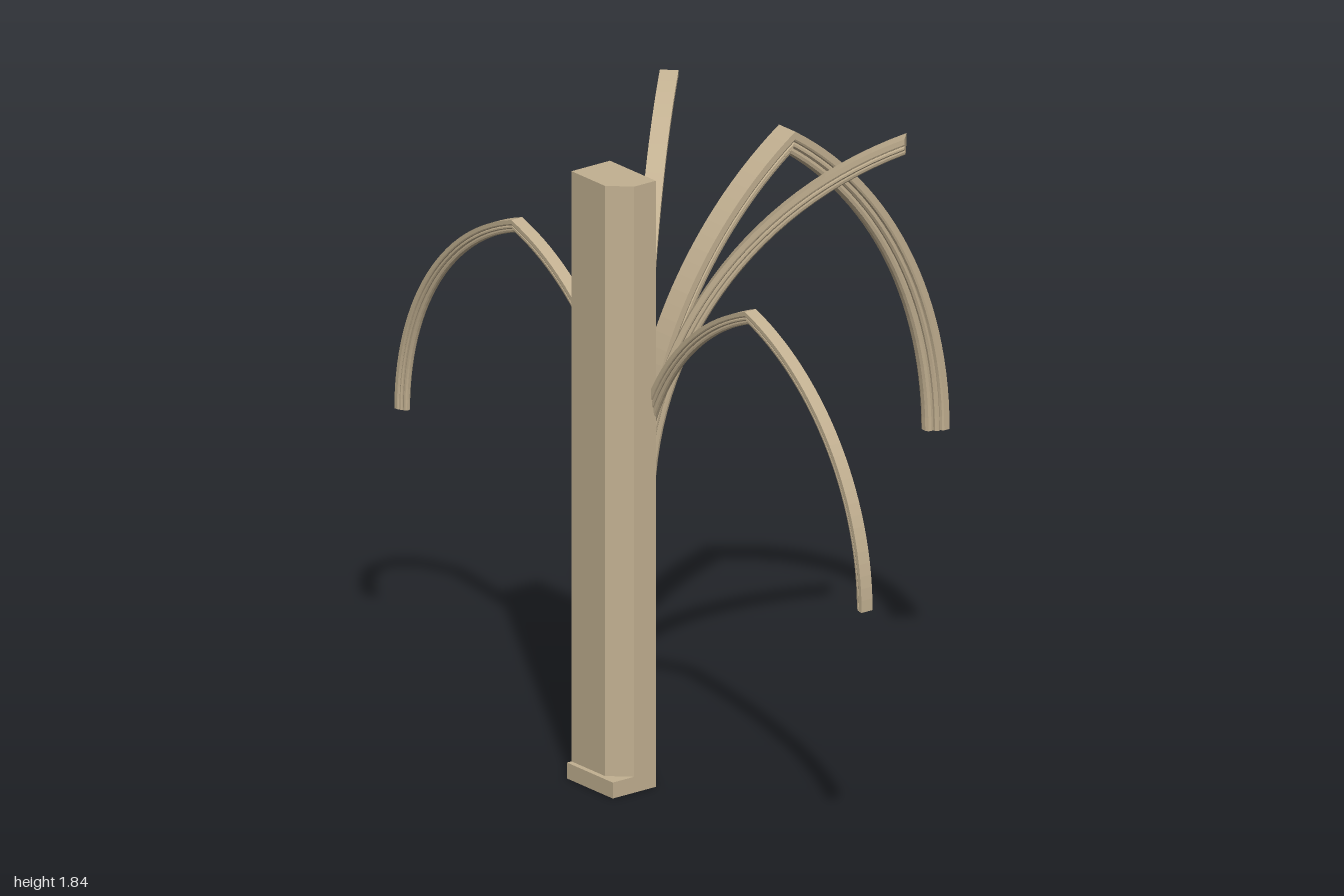
import * as THREE from 'three';

const SPRING = 0.755; // height where the ribs leave the shaft

// Moulded rib section: flat back at v = 0, side rolls and a central roll at v = 1
const half = [[0.5, 0], [0.5, 0.3], [0.46, 0.38], [0.36, 0.42], [0.42, 0.5], [0.42, 0.6],
  [0.34, 0.68], [0.24, 0.68], [0.26, 0.8], [0.22, 0.93], [0.1, 1]];
const section = [...half, ...half.map(([u, v]) => [-u, v]).reverse()];

// Sweep the section along place(u, v, t), t from 0 to 1, with capped ends
function sweep(width, depth, steps, place) {
  const pts = section.map(([u, v]) => new THREE.Vector2(u * width, v * depth));
  const n = pts.length;
  const pos = [];
  const put = (j, i) => pos.push(...place(pts[j % n].x, pts[j % n].y, i / steps));
  for (let i = 0; i < steps; i++) {
    for (let j = 0; j < n; j++) {
      put(j, i); put(j + 1, i); put(j, i + 1);
      put(j + 1, i); put(j + 1, i + 1); put(j, i + 1);
    }
  }
  for (const [a, b, c] of THREE.ShapeUtils.triangulateShape(pts, [])) {
    put(a, 0); put(c, 0); put(b, 0);
    put(a, steps); put(b, steps); put(c, steps);
  }
  const geo = new THREE.BufferGeometry();
  geo.setAttribute('position', new THREE.Float32BufferAttribute(pos, 3));
  geo.computeVertexNormals();
  return geo;
}

// Quarter-like arc rising from the spring line, cut vertically at the apex
function arcRib(span, rise, width, depth) {
  const R = (span * span + rise * rise) / (2 * span);
  return sweep(width, depth, 28, (u, v, t) => {
    const a = t * Math.acos((R - span) / (R - v));
    return [R - (R - v) * Math.cos(a), (R - v) * Math.sin(a), u];
  });
}

export function createModel() {
  const model = new THREE.Group();
  const stone = new THREE.MeshStandardMaterial({ color: 0xc2b091 });
  stone.name = 'tan stone';

  const add = (name, geo, x, y, z, turn = 0) => {
    const mesh = new THREE.Mesh(geo, stone);
    mesh.name = name;
    mesh.position.set(x, y, z);
    mesh.rotation.y = turn;
    model.add(mesh);
  };

  // Pier with one chamfered front corner (shape y maps to -z)
  const outline = new THREE.Shape([[-0.098, -0.45], [-0.098, -0.58], [0.045, -0.58],
    [0.098, -0.523], [0.098, -0.45]].map(([x, y]) => new THREE.Vector2(x, y)));
  const pier = new THREE.ExtrudeGeometry(outline, { depth: 1.665, bevelEnabled: false });
  pier.rotateX(-Math.PI / 2);
  add('pier', pier, 0, 0.045, 0);

  // Square plinth
  add('plinth', new THREE.BoxGeometry(0.196, 0.045, 0.145), 0, 0.0225, 0.5225);

  // Moulded shaft behind the pier
  const shaft = sweep(0.07, 0.06, 1, (u, v, t) => [v, t * SPRING, u]);
  add('shaft', shaft, 0, 0, 0.45, Math.PI / 2);

  // Pointed arches: two mirrored arcs meeting at the apex
  const arch = (name, z, turn, span, rise, width, depth) => {
    const geo = arcRib(span, rise, width, depth);
    add(name + 'Near', geo, 0, SPRING, z, turn);
    add(name + 'Far', geo, 2 * span * Math.cos(turn), SPRING,
      z - 2 * span * Math.sin(turn), turn + Math.PI);
  };
  arch('leftWallRib', 0.448, 0, 0.5, 0.705, 0.037, 0.036);
  arch('rightWallRib', 0.448, Math.PI, 0.5, 0.675, 0.037, 0.036);
  arch('transverseRib', 0.45, Math.PI / 2, 0.52, 0.957, 0.07, 0.06);

  // Diagonal half ribs
  add('leftDiagonalRib', arcRib(0.715, 1.08, 0.05, 0.046), 0, SPRING, 0.435, Math.PI / 4);
  add('rightDiagonalRib', arcRib(0.715, 0.975, 0.05, 0.046), 0, SPRING, 0.435, 3 * Math.PI / 4);

  return model;
}
